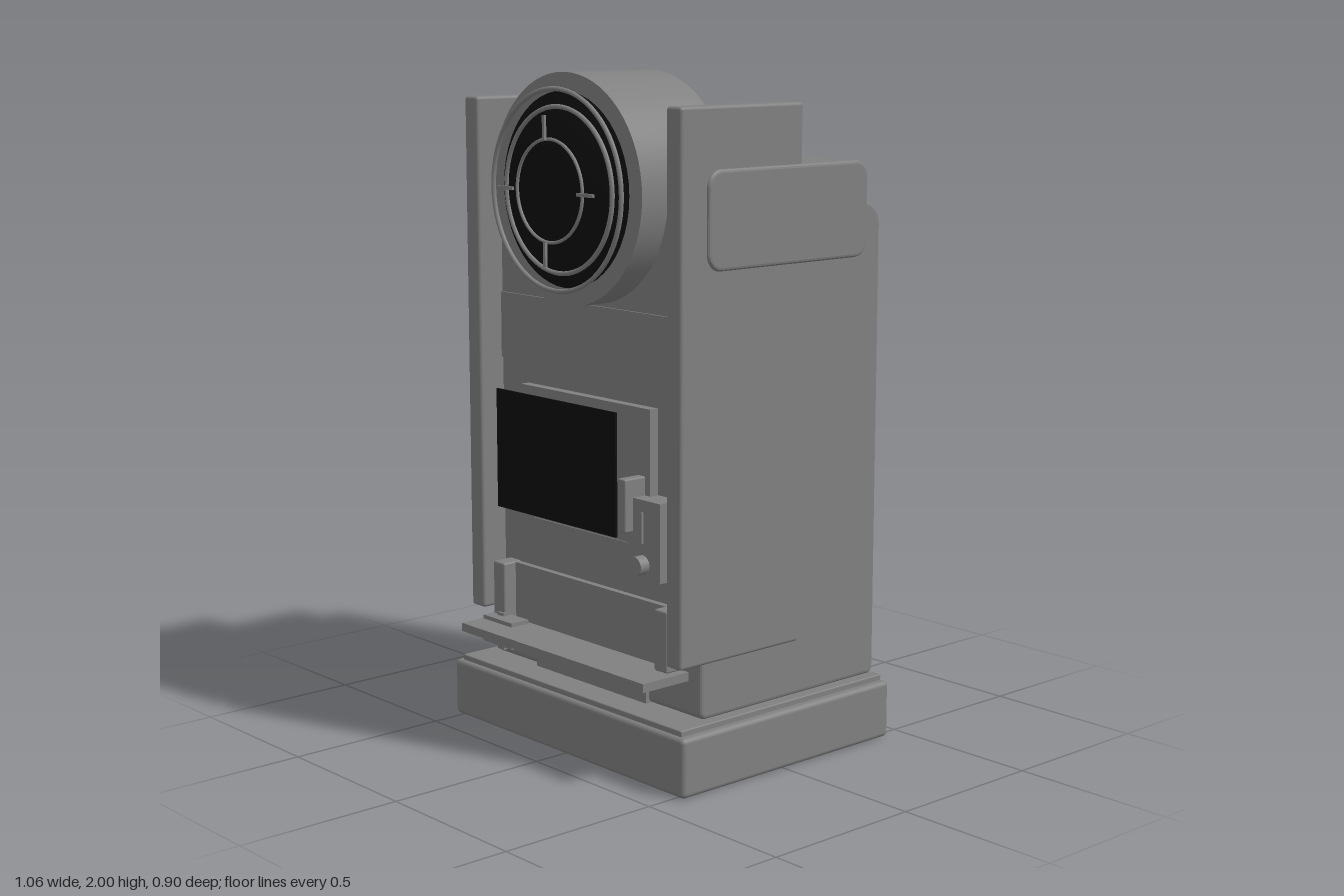
import * as THREE from 'three';
import { RoundedBoxGeometry } from 'three/addons/geometries/RoundedBoxGeometry.js';

export function createModel() {
  const model = new THREE.Group();
  model.name = 'cabinet';
  const grey = new THREE.MeshStandardMaterial({ color: 0x808080 });
  grey.name = 'grey metal';
  const black = new THREE.MeshStandardMaterial({ color: 0x0e0e0e });
  black.name = 'black';

  function add(name, geometry, material = grey) {
    const mesh = new THREE.Mesh(geometry, material);
    mesh.name = name;
    model.add(mesh);
    return mesh;
  }

  // Box given by its limits; r rounds the edges
  function box(name, x0, x1, y0, y1, z0, z1, r = 0, material = grey) {
    const w = x1 - x0, h = y1 - y0, d = z1 - z0;
    const g = r ? new RoundedBoxGeometry(w, h, d, 3, r) : new THREE.BoxGeometry(w, h, d);
    g.translate((x0 + x1) / 2, (y0 + y1) / 2, (z0 + z1) / 2);
    return add(name, g, material);
  }

  // Block whose side outline has rounded corners: front top, back top, back bottom, front bottom
  function sideBlock(name, halfW, y0, y1, z0, z1, [ft, bt, bb, fb], bevel) {
    const l = -z1 + bevel, r = -z0 - bevel, b = y0 + bevel, t = y1 - bevel;
    const s = new THREE.Shape();
    s.moveTo(l + fb, b);
    s.lineTo(r - bb, b);
    s.absarc(r - bb, b + bb, bb, -Math.PI / 2, 0);
    s.lineTo(r, t - bt);
    s.absarc(r - bt, t - bt, bt, 0, Math.PI / 2);
    s.lineTo(l + ft, t);
    s.absarc(l + ft, t - ft, ft, Math.PI / 2, Math.PI);
    s.lineTo(l, b + fb);
    s.absarc(l + fb, b + fb, fb, Math.PI, Math.PI * 1.5);
    const depth = 2 * (halfW - bevel);
    const g = new THREE.ExtrudeGeometry(s, {
      depth, bevelEnabled: true, bevelSize: bevel, bevelThickness: bevel, bevelSegments: 3, curveSegments: 8,
    });
    g.translate(0, 0, -depth / 2);
    g.rotateY(Math.PI / 2);
    return add(name, g);
  }

  // Plinth and main body
  box('base', -0.53, 0.53, 0, 0.175, -0.44, 0.4, 0.015);
  box('baseStep', -0.505, 0.505, 0.17, 0.192, -0.43, 0.385, 0.004);
  sideBlock('body', 0.472, 0.19, 1.625, -0.43, 0.28, [0.01, 0.06, 0.01, 0.01], 0.012);
  sideBlock('topBlock', 0.49, 1.465, 1.745, -0.357, 0.272, [0.04, 0.04, 0.04, 0.04], 0.01);

  // Side panels
  for (const s of [-1, 1]) {
    const c = s * 0.45;
    box(s > 0 ? 'leftSidePanel' : 'rightSidePanel', c - 0.031, c + 0.031, 0.355, 1.917, -0.097, 0.367, 0.01);
  }

  // Front panels
  box('upperBand', -0.42, 0.42, 1.13, 1.33, 0.27, 0.286);
  box('screenFrame', -0.295, 0.29, 0.665, 1.065, 0.27, 0.31);
  box('screen', -0.27, 0.27, 0.71, 1.067, 0.415, 0.422, 0, black);
  box('screenLatch', 0.235, 0.268, 0.715, 0.87, 0.3, 0.385, 0.005);
  box('lowerFrontPanel', -0.25, 0.25, 0.57, 0.66, 0.27, 0.3);
  box('kickPanel', -0.255, 0.25, 0.192, 0.29, 0.27, 0.292);

  // Coin plate
  box('coinPlate', 0.245, 0.382, 0.585, 0.815, 0.27, 0.355);
  box('coinSlot', 0.307, 0.313, 0.69, 0.78, 0.35, 0.362);
  const button = new THREE.CylinderGeometry(0.028, 0.028, 0.04, 24);
  button.rotateX(Math.PI / 2);
  add('coinButton', button).position.set(0.31, 0.628, 0.367);

  // Tray and its bin
  box('bin', -0.35, 0.365, 0.325, 0.503, 0.27, 0.3);
  for (const s of [-1, 1]) {
    const c = s * 0.372;
    box('trayBracket', c - 0.027, c + 0.027, 0.325, 0.505, 0.27, 0.345, 0.006);
  }
  box('tray', -0.42, 0.42, 0.297, 0.323, 0.28, 0.452);
  for (const y of [0.265, 0.335]) box('trayBar', -0.4, -0.26, y - 0.006, y + 0.006, 0.32, 0.385);
  box('trayLever', -0.37, -0.34, 0.235, 0.35, 0.338, 0.353);

  // Round housing on top
  const cy = 1.667;
  const drum = new THREE.CylinderGeometry(0.332, 0.332, 0.325, 64);
  drum.rotateX(Math.PI / 2);
  add('drum', drum).position.set(0, cy, 0.2125);

  // Domed grille
  const points = [];
  for (let i = 0; i <= 12; i++) {
    const r = 0.28 * (1 - i / 12);
    points.push(new THREE.Vector2(r, 0.068 * (1 - (r / 0.28) ** 2)));
  }
  const dome = new THREE.LatheGeometry(points, 48);
  dome.rotateX(Math.PI / 2);
  add('grilleDome', dome, black).position.set(0, cy, 0.376);

  // Grille rings and spokes
  for (const [radius, tube, z] of [[0.286, 0.007, 0.41], [0.236, 0.007, 0.4], [0.146, 0.005, 0.432]]) {
    add('grilleRing', new THREE.TorusGeometry(radius, tube, 8, 64)).position.set(0, cy, z);
  }
  for (let i = 0; i < 4; i++) {
    const spoke = new THREE.BoxGeometry(0.07, 0.01, 0.008);
    spoke.translate(0.179, 0, 0);
    spoke.rotateZ(i * Math.PI / 2);
    add('grilleSpoke', spoke).position.set(0, cy, 0.449);
  }

  // Rear panels
  box('rearDoor', -0.31, 0.31, 0.865, 1.38, -0.435, -0.42);
  box('rearLabelPlate', -0.175, 0.175, 0.97, 1.06, -0.438, -0.43);
  box('rearVent', -0.285, 0.285, 0.345, 0.65, -0.45, -0.42);
  for (const s of [-1, 1]) {
    const bolt = new THREE.CylinderGeometry(0.015, 0.015, 0.02, 16);
    bolt.rotateX(Math.PI / 2);
    add('rearBolt', bolt).position.set(s * 0.275, 1.34, -0.44);
  }
  return model;
}
